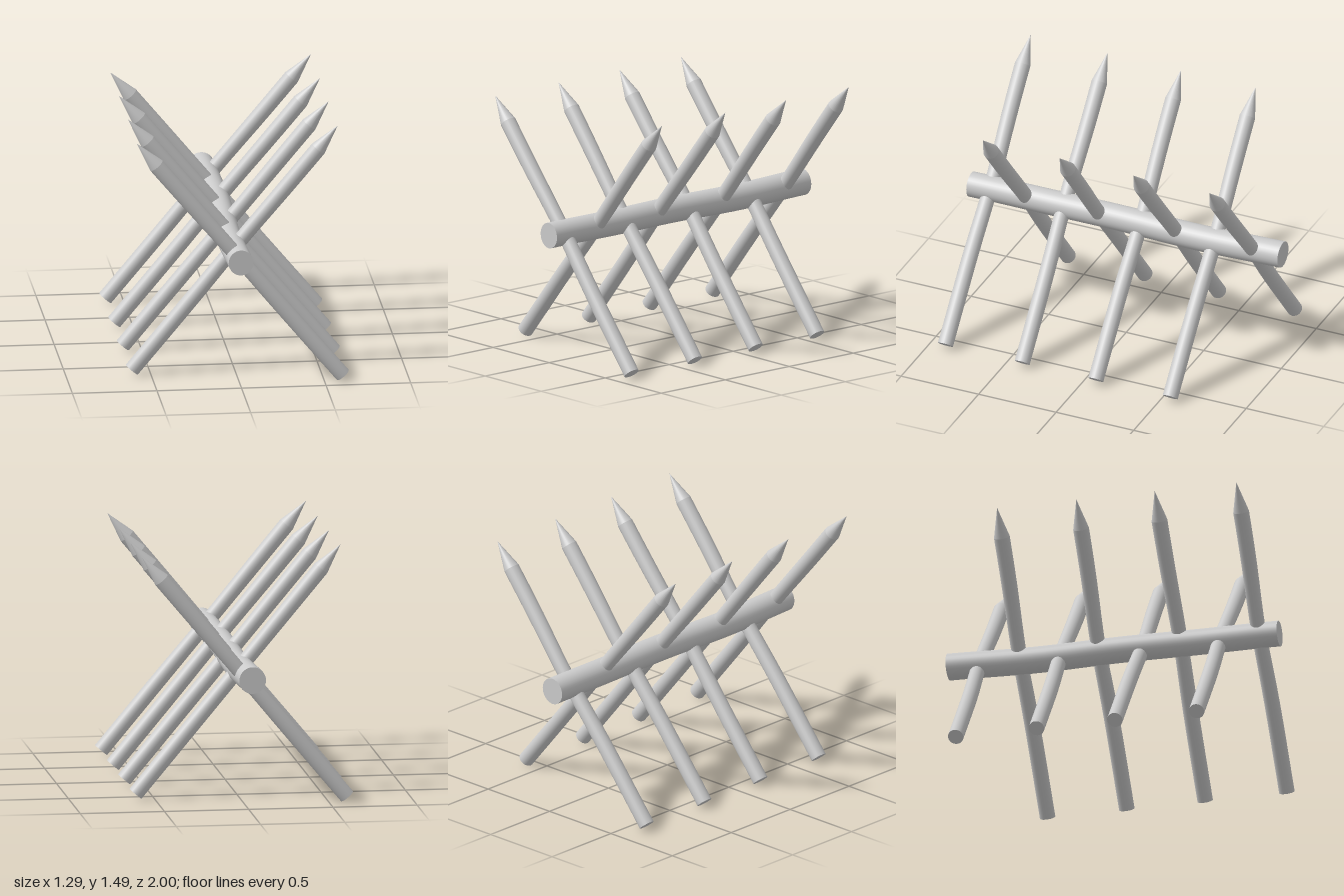
import * as THREE from 'three';
import { mergeGeometries } from 'three/addons/utils/BufferGeometryUtils.js';

const material = new THREE.MeshStandardMaterial({ color: 0xcccccc });

// Move every vertex by rule(v), then refresh the normals of the curved sides
function deform(geometry, rule) {
  const p = geometry.attributes.position;
  const v = new THREE.Vector3();
  for (let i = 0; i < p.count; i++) {
    v.fromBufferAttribute(p, i);
    rule(v);
    p.setXYZ(i, v.x, v.y, v.z);
  }
  return geometry;
}

// Pole with a pointed end, standing on its local origin and bowed slightly in z
function stakeGeometry(length, bow) {
  const shaft = length * 0.905;
  const tip = length - shaft;
  const body = new THREE.CylinderGeometry(0.047, 0.046, shaft, 24, 16, true);
  body.translate(0, shaft / 2, 0);
  const cap = new THREE.CircleGeometry(0.046, 24);
  cap.rotateX(Math.PI / 2);
  const point = new THREE.ConeGeometry(0.047, tip, 24, 1, true);
  point.translate(0, shaft + tip / 2, 0);
  return deform(mergeGeometries([body, cap, point]), (v) => {
    const t = v.y / length;
    const bump = Math.exp(-(((t - 0.53) / 0.17) ** 2));
    const r = 1 - 0.06 * bump;
    v.x *= r;
    v.z = v.z * r + bow * bump;
  });
}

export function createModel() {
  const group = new THREE.Group();
  group.name = 'spikedBarrier';

  // Slightly uneven log along z
  const beamGeometry = new THREE.CylinderGeometry(0.073, 0.079, 2, 32, 24);
  beamGeometry.rotateX(Math.PI / 2);
  deform(beamGeometry, (v) => {
    v.y *= 1.03 + 0.02 * v.z;
    v.x += -0.012 + 0.007 * v.z + 0.008 * Math.cos(v.z * 3.6 + 1.4);
    v.y += 0.003 * Math.cos(v.z * 6.3);
  });
  const beam = new THREE.Mesh(beamGeometry, material);
  beam.name = 'beam';
  beam.position.y = 0.767;
  group.add(beam);

  // Stakes alternate their lean: [z, bow]
  const stakes = [
    [0.89, -0.012], [0.65, -0.013], [0.395, 0.008], [0.155, 0.01],
    [-0.08, -0.012], [-0.32, -0.012], [-0.56, -0.01], [-0.81, -0.014],
  ];
  const foot = 0.61, footY = 0.031, spanX = 1.217, spanY = 1.459;
  const length = Math.hypot(spanX, spanY);
  const angle = Math.atan2(spanX, spanY);
  stakes.forEach(([z, bow], i) => {
    const side = i % 2 === 0 ? 1 : -1;
    const stake = new THREE.Mesh(stakeGeometry(length, bow), material);
    stake.name = side > 0 ? 'rightLeaningStake' : 'leftLeaningStake';
    stake.position.set(side * foot, footY, z);
    stake.rotation.z = side * angle;
    group.add(stake);
  });

  return group;
}
